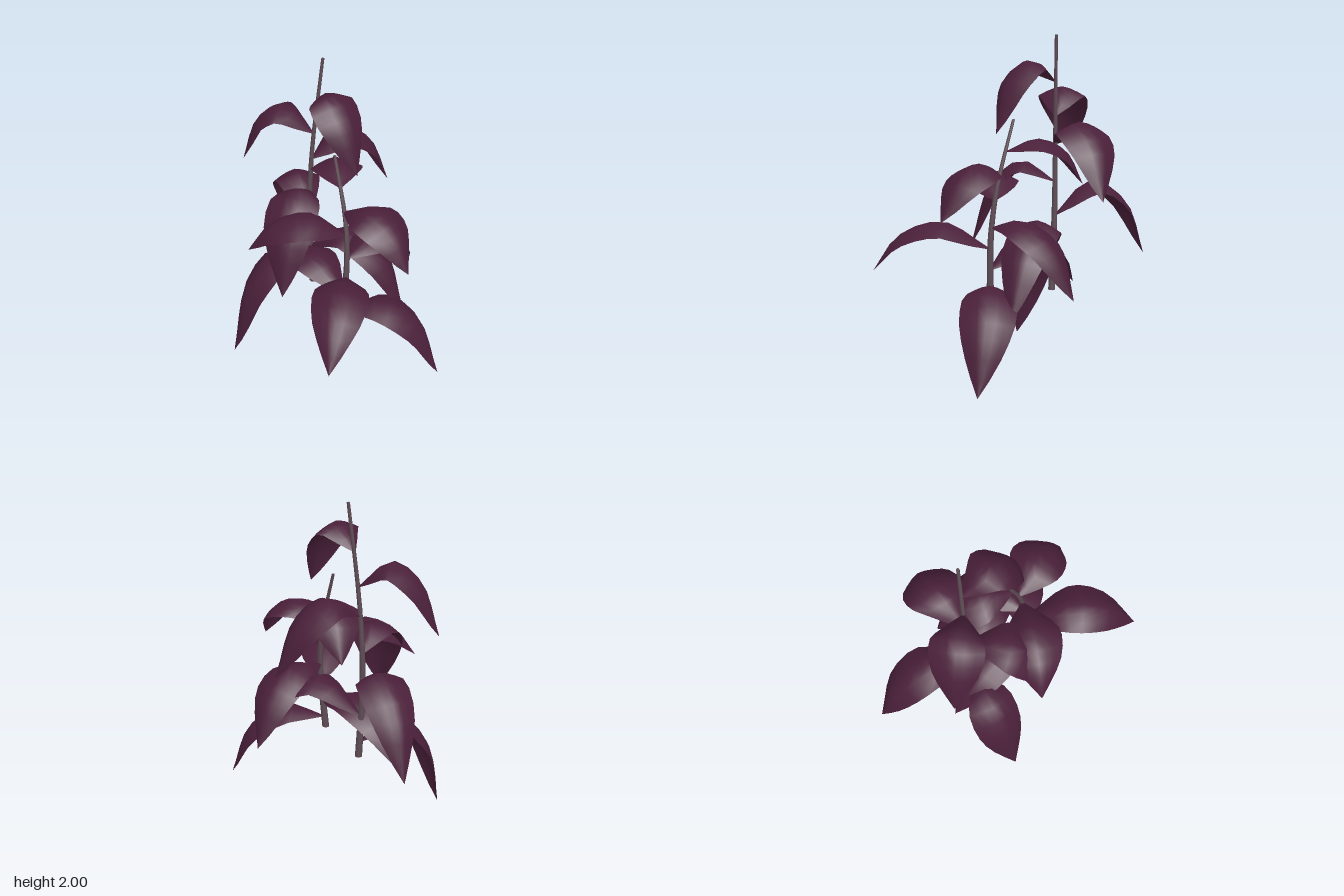
import * as THREE from 'three';

const V = (x, y, z) => new THREE.Vector3(x, y, z);

// Half-width of a blade along its length, as a share of the widest point
const WIDTHS = [0.05, 0.46, 0.8, 0.96, 1, 0.95, 0.82, 0.61, 0.33, 0];

// Arched blade: rises from base to peak, bends over and hangs to its tip.
// bow pushes the middle sideways.
function leafGeometry(base, tip, peakY, halfWidth, bow) {
  const at = (f, y) => V(base.x + (tip.x - base.x) * f, y, base.z + (tip.z - base.z) * f);
  const curve = new THREE.CatmullRomCurve3([
    base, at(0.4, peakY), at(0.77, tip.y + (peakY - tip.y) * 0.72), tip,
  ], false, 'centripetal');
  const side = V(-(tip.z - base.z), 0, tip.x - base.x).normalize();
  const rows = WIDTHS.length - 1, cols = 6;
  const pos = [], idx = [];
  for (let i = 0; i <= rows; i++) {
    const t = i / rows;
    const p = curve.getPointAt(t).addScaledVector(side, bow * Math.sin(Math.PI * t));
    const normal = side.clone().cross(curve.getTangentAt(t)).normalize();
    if (normal.y < 0) normal.negate();
    const w = WIDTHS[i] * halfWidth;
    for (let j = 0; j <= cols; j++) {
      const u = (j / cols) * 2 - 1;
      const q = p.clone().addScaledVector(side, u * w)
        .addScaledVector(normal, -0.4 * w * Math.abs(u) ** 1.5);
      pos.push(q.x, q.y, q.z);
      if (i < rows && j < cols) {
        const a = i * (cols + 1) + j, b = a + cols + 1;
        idx.push(a, a + 1, b, a + 1, b + 1, b);
      }
    }
  }
  const g = new THREE.BufferGeometry();
  g.setAttribute('position', new THREE.Float32BufferAttribute(pos, 3));
  g.setIndex(idx);
  g.computeVertexNormals();
  return g;
}

// Tapered stem: a capped cylinder bent along a curve
function stemGeometry(curve, r0, r1) {
  const g = new THREE.CylinderGeometry(r1, r0, 1, 8, 12);
  const p = g.attributes.position;
  for (let i = 0; i < p.count; i++) {
    const c = curve.getPoint(THREE.MathUtils.clamp(p.getY(i) + 0.5, 0, 1));
    p.setXYZ(i, p.getX(i) + c.x, c.y, p.getZ(i) + c.z);
  }
  g.computeVertexNormals();
  return g;
}

// Leaves spiral up each stem: [base], [tip], peak height, half width, bow
const PLANTS = [
  {
    name: 'tallShoot',
    stem: [[-0.2, 0.455, -0.155], [-0.225, 0.95, -0.155], [-0.21, 1.4, -0.165], [-0.155, 2, -0.2]],
    leaves: [
      [[-0.21, 0.56, -0.15], [-0.5, 0, 0.31], 0.7, 0.158, 0.022],
      [[-0.22, 0.73, -0.155], [0.43, 0.43, -0.28], 0.94, 0.155, 0],
      [[-0.225, 0.92, -0.155], [-0.73, 0.63, -0.51], 1.12, 0.145, 0],
      [[-0.22, 1.13, -0.16], [-0.03, 0.7, 0.34], 1.25, 0.16, 0.018],
      [[-0.21, 1.36, -0.165], [0.03, 1.09, -0.63], 1.51, 0.165, -0.035],
      [[-0.2, 1.53, -0.17], [-0.63, 1.28, -0.01], 1.69, 0.152, 0],
      [[-0.185, 1.73, -0.18], [0.22, 1.45, -0.04], 1.86, 0.147, 0.022],
    ],
  },
  {
    name: 'shortShoot',
    stem: [[0.18, 0.455, 0.037], [0.2, 0.85, 0.015], [0.165, 1.15, -0.01], [0.055, 1.52, -0.045]],
    leaves: [
      [[0.19, 0.53, 0.03], [0.72, 0.09, -0.27], 0.6, 0.162, -0.03],
      [[0.19, 0.64, 0.03], [-0.48, 0.44, -0.14], 0.79, 0.155, 0],
      [[0.2, 0.77, 0.02], [0.55, 0.62, 0.63], 0.93, 0.162, -0.01],
      [[0.195, 0.9, 0.01], [0.23, 0.56, -0.57], 0.97, 0.16, 0.02],
      [[0.18, 1.06, 0], [-0.27, 0.95, 0.36], 1.195, 0.168, -0.01],
      [[0.15, 1.2, -0.015], [0.64, 1, 0.03], 1.295, 0.17, -0.02],
      [[0.11, 1.34, -0.03], [-0.22, 1.13, -0.355], 1.41, 0.155, 0.01],
    ],
  },
];

export function createModel() {
  const leafMat = new THREE.MeshStandardMaterial({ color: 0x4a203a, side: THREE.DoubleSide });
  leafMat.name = 'plumLeaf';
  const stemMat = new THREE.MeshStandardMaterial({ color: 0x5f4d55 });
  stemMat.name = 'greyStem';

  const model = new THREE.Group();
  model.name = 'leafyPlant';
  for (const { name, stem, leaves } of PLANTS) {
    const shoot = new THREE.Group();
    shoot.name = name;
    const curve = new THREE.CatmullRomCurve3(stem.map((p) => V(...p)));
    const stemMesh = new THREE.Mesh(stemGeometry(curve, 0.022, 0.009), stemMat);
    stemMesh.name = 'stem';
    shoot.add(stemMesh);
    leaves.forEach(([base, tip, peak, width, bow], i) => {
      const leaf = new THREE.Mesh(leafGeometry(V(...base), V(...tip), peak, width, bow), leafMat);
      leaf.name = `leaf${i + 1}`;
      shoot.add(leaf);
    });
    model.add(shoot);
  }
  return model;
}
